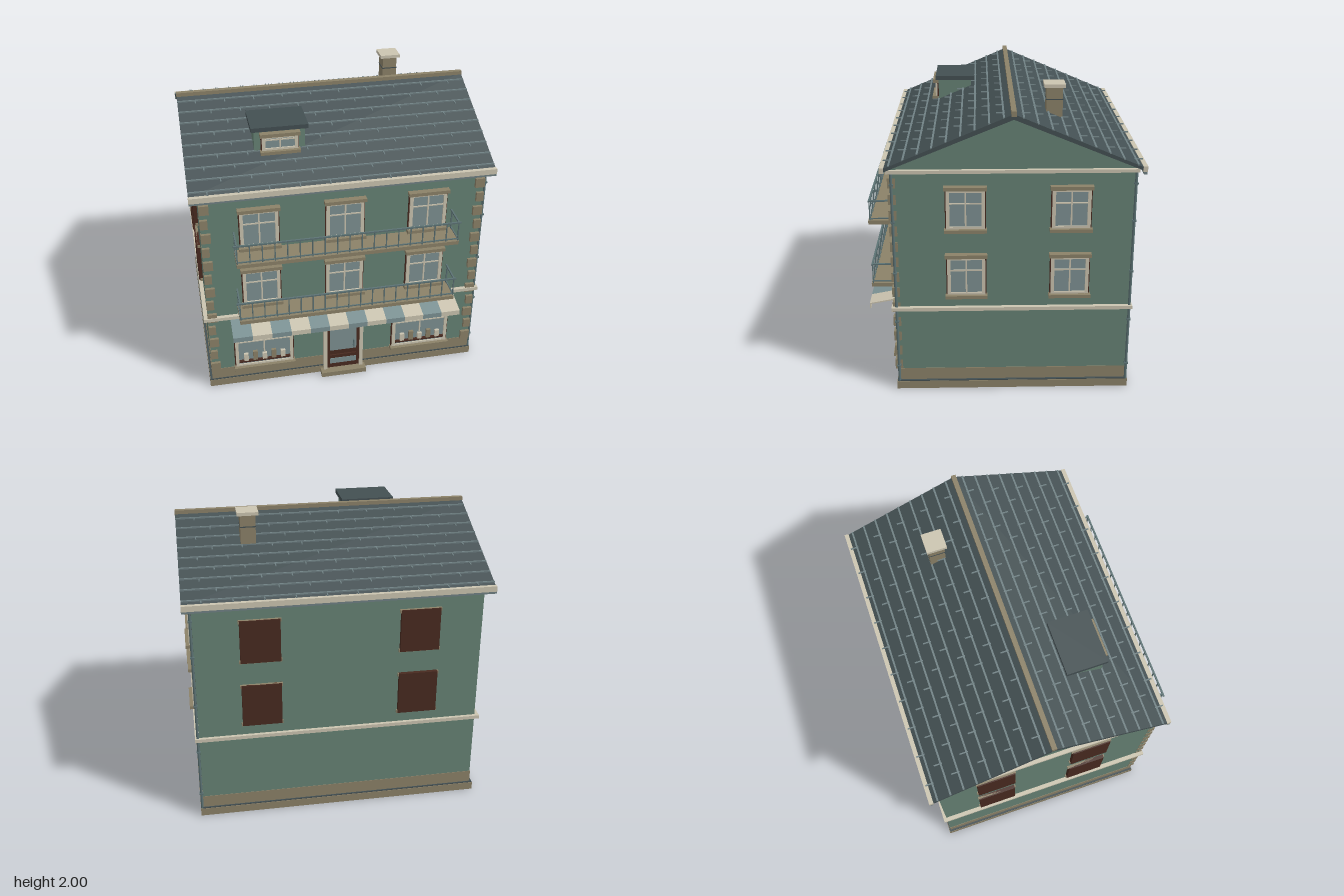
import * as THREE from 'three';

const mat = (name, color, double) => {
  const m = new THREE.MeshStandardMaterial({ color });
  m.name = name;
  if (double) m.side = THREE.DoubleSide;
  return m;
};
const M = {
  wall: mat('greenPlaster', 0x668274),
  roof: mat('darkSlate', 0x434f52),
  tile: mat('tileEdge', 0x6f8083),
  stone: mat('tanStone', 0x8b8168),
  cream: mat('creamTrim', 0xcbc4b0),
  brown: mat('darkWood', 0x482a20),
  glass: mat('paleGlass', 0x7d9092),
  metal: mat('railMetal', 0x5c7274),
  cloth: mat('awningBlue', 0x7c9294),
};

// box given by its extents
function box(parent, name, m, x0, x1, y0, y1, z0, z1) {
  const mesh = new THREE.Mesh(new THREE.BoxGeometry(x1 - x0, y1 - y0, z1 - z0), m);
  mesh.position.set((x0 + x1) / 2, (y0 + y1) / 2, (z0 + z1) / 2);
  mesh.name = name;
  parent.add(mesh);
  return mesh;
}
function group(parent, name, x = 0, y = 0, z = 0, ry = 0) {
  const g = new THREE.Group();
  g.name = name;
  g.position.set(x, y, z);
  g.rotation.y = ry;
  parent.add(g);
  return g;
}

const FRONT = 0.695, BACK = -0.826, SIDE = 0.94, RIDGE = -0.066;

// framed window, origin at the centre of its foot, facing local +z
function windowUnit(parent, name, w, h, x, y, z, ry) {
  const g = group(parent, name, x, y, z, ry), a = w / 2;
  box(g, 'backing', M.brown, -a, a, 0.01, h - 0.01, 0, 0.012);
  box(g, 'glass', M.glass, -a + 0.01, a - 0.01, 0.02, h - 0.02, 0.01, 0.015);
  for (const s of [-1, 1]) {
    const c = s * (a - 0.018);
    box(g, 'stile', M.cream, c - 0.011, c + 0.011, 0.015, h - 0.02, 0, 0.025);
  }
  box(g, 'topRail', M.cream, -a + 0.01, a - 0.01, h - 0.04, h - 0.02, 0, 0.024);
  box(g, 'bottomRail', M.cream, -a + 0.01, a - 0.01, 0.02, 0.036, 0, 0.024);
  box(g, 'mullion', M.cream, -0.005, 0.005, 0.02, h - 0.02, 0, 0.021);
  box(g, 'transom', M.cream, -a + 0.02, a - 0.02, h * 0.61, h * 0.61 + 0.009, 0, 0.02);
  box(g, 'lintel', M.stone, -a - 0.006, a + 0.006, h - 0.024, h, 0, 0.042);
  box(g, 'sill', M.stone, -a - 0.006, a + 0.006, 0, 0.022, 0, 0.048);
  return g;
}

// window closed by a wooden panel
function shutteredWindow(parent, x, y, z, ry) {
  const g = group(parent, 'shutteredWindow', x, y, z, ry);
  box(g, 'shutter', M.brown, -0.13, 0.13, 0.005, 0.3, 0, 0.026);
  box(g, 'lintel', M.stone, -0.138, 0.138, 0.279, 0.3, 0, 0.018);
  box(g, 'sill', M.stone, -0.138, 0.138, 0, 0.02, 0, 0.018);
}

function balcony(parent, y) {
  const g = group(parent, 'balcony', 0, y, 0);
  box(g, 'slab', M.stone, -0.735, 0.735, 0, 0.026, FRONT, 0.872);
  box(g, 'topRail', M.metal, -0.752, 0.745, 0.158, 0.168, 0.855, 0.867);
  box(g, 'bottomRail', M.metal, -0.735, 0.735, 0.036, 0.043, 0.857, 0.865);
  for (let i = 0; i <= 18; i++) {
    const x = -0.73 + i * 1.46 / 18;
    box(g, 'baluster', M.metal, x - 0.0035, x + 0.0035, 0.026, 0.16, 0.857, 0.864);
  }
  for (const x of [-0.73, 0.73]) {
    box(g, 'sideRail', M.metal, x - 0.005, x + 0.005, 0.158, 0.168, FRONT, 0.86);
    box(g, 'sideLowRail', M.metal, x - 0.004, x + 0.004, 0.036, 0.043, FRONT, 0.86);
    box(g, 'wallPost', M.metal, x - 0.004, x + 0.004, 0.026, 0.16, 0.71, 0.718);
  }
}

function shopWindow(parent, x) {
  const g = windowUnit(parent, 'shopWindow', 0.42, 0.365, x, 0.14, FRONT);
  box(g, 'shelf', M.brown, -0.18, 0.18, 0.058, 0.07, 0.01, 0.034);
  const heights = [0.06, 0.075, 0.05, 0.07, 0.055];
  heights.forEach((h, i) => {
    const c = -0.13 + i * 0.065;
    box(g, 'goods', i % 2 ? M.stone : M.cream, c - 0.016, c + 0.016, 0.07, 0.07 + h, 0.014, 0.034);
  });
}

function doorway(parent) {
  const g = group(parent, 'doorway', -0.003, 0, FRONT);
  box(g, 'step', M.stone, -0.163, 0.16, 0, 0.036, 0, 0.073);
  box(g, 'door', M.brown, -0.118, 0.118, 0.036, 0.5, 0, 0.02);
  box(g, 'upperGlass', M.glass, -0.096, 0.096, 0.195, 0.475, 0.018, 0.024);
  box(g, 'lowerPanel', M.glass, -0.096, 0.096, 0.075, 0.12, 0.018, 0.024);
  box(g, 'panelBar', M.brown, -0.096, 0.096, 0.148, 0.156, 0.018, 0.03);
  box(g, 'handle', M.metal, 0.07, 0.078, 0.22, 0.28, 0.022, 0.038);
  for (const s of [-1, 1])
    box(g, 'jamb', M.cream, s * 0.13 - 0.012, s * 0.13 + 0.012, 0.036, 0.5, 0, 0.035);
  box(g, 'head', M.cream, -0.15, 0.15, 0.497, 0.515, 0, 0.045);
}

// striped awning: sloped cloth with a hanging edge
function awning(parent) {
  const g = group(parent, 'awning'), n = 12, w = 1.575 / n;
  const section = new THREE.Shape([
    [0.70, 0.59], [0.885, 0.555], [0.885, 0.518], [0.878, 0.518], [0.878, 0.548], [0.70, 0.58],
  ].map(([z, y]) => new THREE.Vector2(-z, y)));
  const geo = new THREE.ExtrudeGeometry(section, { depth: w, bevelEnabled: false }).rotateY(Math.PI / 2);
  for (let i = 0; i < n; i++) {
    const m = new THREE.Mesh(geo, i % 2 ? M.cream : M.cloth);
    m.name = 'awningStripe';
    m.position.x = -0.79 + i * w;
    g.add(m);
  }
}

// cross-section in (z, y) extruded along x
function alongX(parent, name, m, pts, x0, x1) {
  const shape = new THREE.Shape(pts.map(([z, y]) => new THREE.Vector2(-z, y)));
  const geo = new THREE.ExtrudeGeometry(shape, { depth: x1 - x0, bevelEnabled: false }).rotateY(Math.PI / 2);
  const mesh = new THREE.Mesh(geo, m);
  mesh.name = name;
  mesh.position.x = x0;
  parent.add(mesh);
}

function roof(parent) {
  const g = group(parent, 'roof');
  const EY = 1.575, RY = 1.915, RUN = 0.8, slope = (RY - EY) / RUN;
  for (const s of [1, -1]) {
    alongX(g, 'roofSlope', M.roof, [
      [RIDGE, RY], [RIDGE + s * RUN, EY], [RIDGE + s * RUN, EY - 0.022], [RIDGE, RY - 0.034],
    ], -0.998, 0.998);
    // tile courses and staggered joints
    for (let r = 0; r < 9; r++) {
      const d = 0.06 + r * 0.088, z = RIDGE + s * d, y = RY - d * slope;
      box(g, 'tileCourse', M.tile, -0.998, 0.998, y - 0.004, y + 0.006, z - 0.006, z + 0.006);
      for (let x = -0.88 + (r % 2) * 0.095; x < 0.97; x += 0.195)
        box(g, 'tileJoint', M.tile, x - 0.004, x + 0.004, y - 0.003, y + 0.004, z - 0.045, z + 0.045);
    }
    // eaves gutter
    const c = RIDGE + s * 0.808;
    box(g, 'gutter', M.cream, -1, 1, 1.545, 1.582, c - 0.014, c + 0.014);
    box(g, 'gutterBase', M.tile, -1, 1, 1.53, 1.545, c - 0.01, c + 0.01);
  }
  box(g, 'ridgeCap', M.stone, -1, 1, 1.9, 1.934, RIDGE - 0.016, RIDGE + 0.016);

  const ch = group(g, 'chimney', 0.537, 0, -0.342);
  box(ch, 'stack', M.stone, -0.05, 0.05, 1.74, 1.98, -0.053, 0.053);
  box(ch, 'stackBand', M.roof, -0.052, 0.052, 1.895, 1.902, -0.055, 0.055);
  box(ch, 'cap', M.cream, -0.07, 0.07, 1.978, 2, -0.068, 0.068);

  const dm = group(g, 'dormer', -0.378, 0, 0);
  box(dm, 'dormerBody', M.wall, -0.167, 0.167, 1.68, 1.848, 0.2, 0.435);
  box(dm, 'dormerRoof', M.roof, -0.187, 0.187, 1.846, 1.875, 0.178, 0.455);
  windowUnit(dm, 'dormerWindow', 0.25, 0.145, 0, 1.69, 0.435);
}

export function createModel() {
  const house = new THREE.Group();
  house.name = 'townhouse';

  // walls with gables, plinth and bands
  alongX(house, 'walls', M.wall, [
    [FRONT, 0.05], [FRONT, 1.56], [RIDGE, 1.885], [BACK, 1.56], [BACK, 0.05],
  ], -SIDE, SIDE);
  box(house, 'plinth', M.stone, -0.96, 0.96, 0, 0.054, -0.842, 0.707);
  box(house, 'plinthJoint', M.roof, -0.957, 0.957, 0.054, 0.061, -0.838, 0.704);
  box(house, 'plinthUpper', M.stone, -0.943, 0.943, 0.06, 0.145, -0.829, 0.698);
  box(house, 'storeyBand', M.cream, -0.968, 0.968, 0.586, 0.61, -0.848, 0.722);
  box(house, 'eavesBand', M.cream, -0.965, 0.965, 1.53, 1.552, -0.848, 0.722);

  // corner stones
  for (const s of [-1, 1])
    for (let i = 0; i < 13; i++) {
      const w = i % 2 ? 0.05 : 0.064, y = 0.145 + i * 0.107, c = s * (0.942 - w / 2);
      box(house, 'cornerStone', M.stone, c - w / 2, c + w / 2, y, y + 0.066, FRONT - 0.03, 0.715);
    }

  // windows of the two upper storeys
  for (const y of [0.682, 1.14]) {
    for (const x of [-0.565, 0, 0.56]) windowUnit(house, 'frontWindow', 0.265, 0.305, x, y, FRONT);
    for (const z of [0.233, -0.432]) {
      windowUnit(house, 'sideWindow', 0.258, 0.305, SIDE, y, z, Math.PI / 2);
      shutteredWindow(house, -SIDE, y, z, -Math.PI / 2);
    }
    for (const x of [-0.52, 0.52]) shutteredWindow(house, x, y, BACK, Math.PI);
  }

  balcony(house, 1.105);
  balcony(house, 0.653);
  for (const x of [-0.567, 0.56]) shopWindow(house, x);
  doorway(house);
  awning(house);
  box(house, 'signBoard', M.brown, -0.695, 0.69, 0.612, 0.65, FRONT, 0.728);
  box(house, 'signFace', M.glass, -0.66, 0.655, 0.62, 0.645, 0.726, 0.734);

  // downpipes with brackets
  for (const z of [0.69, -0.83]) {
    const g = group(house, 'downpipe', 0.95, 0, z);
    const pipe = new THREE.Mesh(new THREE.CylinderGeometry(0.009, 0.009, 1.51, 8), M.metal);
    pipe.name = 'pipe';
    pipe.position.y = 0.785;
    g.add(pipe);
    for (const y of [0.17, 0.5, 0.85, 1.2, 1.45])
      box(g, 'bracket', M.metal, -0.013, 0.013, y, y + 0.01, -0.013, 0.013);
  }

  roof(house);
  return house;
}
